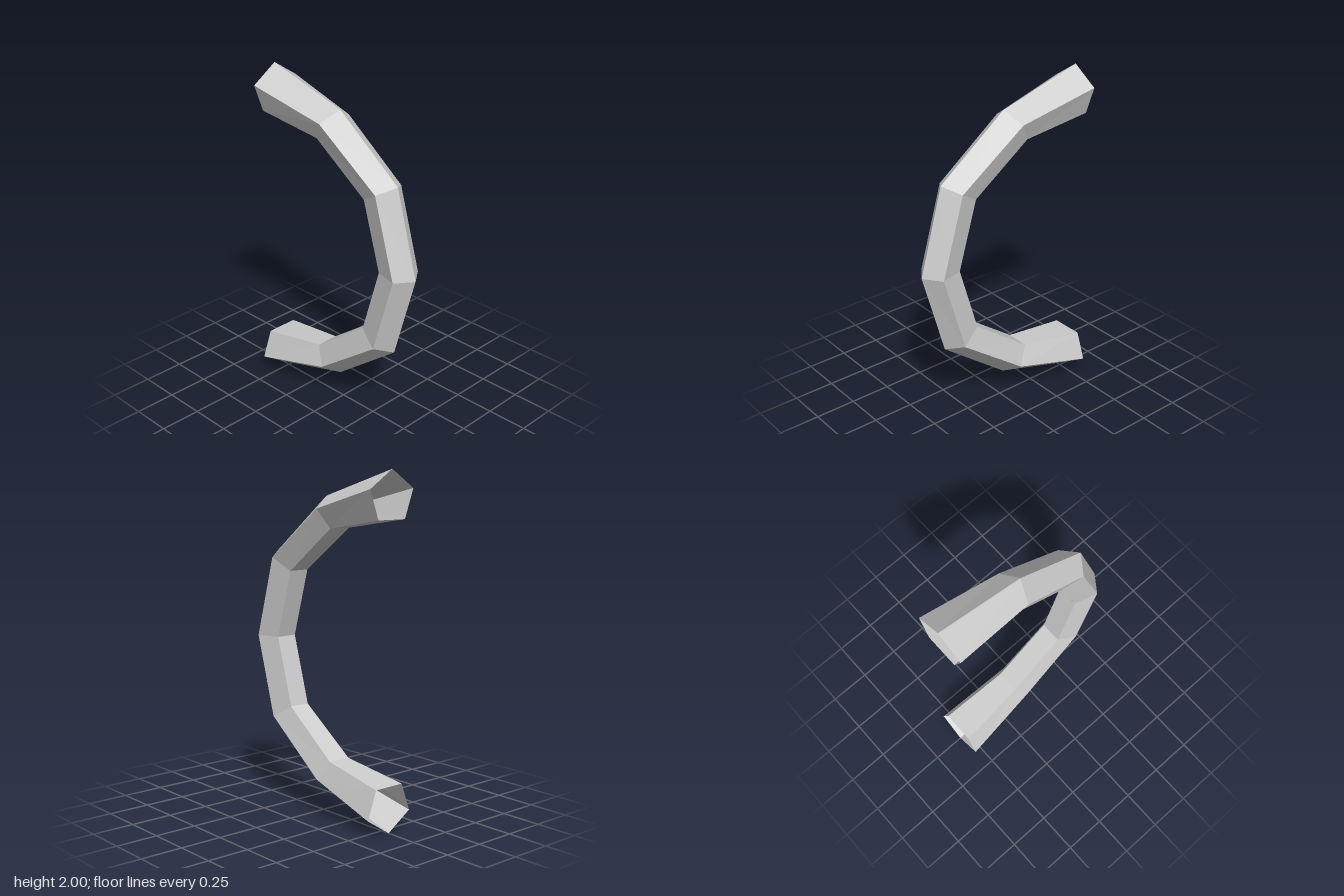
import * as THREE from 'three';

// Cross-sections from the upper end to the middle, each a five-sided ring:
// ridge, side and inner corners as [z, y], plus the half width at the side corners.
const upper = [
  { ridge: [-0.555, 2.0], side: [-0.555, 1.897], inner: [-0.555, 1.733], w: 0.158 },
  { ridge: [-0.025, 1.845], side: [-0.073, 1.778], inner: [-0.14, 1.668], w: 0.115 },
  { ridge: [0.41, 1.515], side: [0.34, 1.478], inner: [0.22, 1.405], w: 0.104 },
  { ridge: [0.555, 1.0], side: [0.48, 1.0], inner: [0.34, 1.0], w: 0.104 },
];

const flip = ([z, y]) => [z, 2 - y];

function ringPoints({ ridge, side, inner, w }) {
  const point = (x, [z, y]) => [x, y, z];
  const n = w * 0.618;
  return [point(0, ridge), point(w, side), point(n, inner), point(-n, inner), point(-w, side)];
}

// Open tube skinned over the rings
function skin(rings) {
  const positions = [];
  for (let i = 0; i < rings.length - 1; i++) {
    for (let j = 0; j < 5; j++) {
      const k = (j + 1) % 5;
      const a = rings[i][j], b = rings[i][k];
      const c = rings[i + 1][k], d = rings[i + 1][j];
      positions.push(...a, ...d, ...c, ...a, ...c, ...b);
    }
  }
  const geometry = new THREE.BufferGeometry();
  geometry.setAttribute('position', new THREE.Float32BufferAttribute(positions, 3));
  geometry.computeVertexNormals();
  return geometry;
}

export function createModel() {
  const group = new THREE.Group();
  group.name = 'handle';

  const grey = new THREE.MeshStandardMaterial({ color: 0xcccccc, flatShading: true, side: THREE.DoubleSide });
  grey.name = 'light grey';

  // The lower half mirrors the upper half about mid height
  const lower = upper.slice(0, -1).reverse().map((r) => ({
    ridge: flip(r.ridge), side: flip(r.side), inner: flip(r.inner), w: r.w,
  }));
  const grip = new THREE.Mesh(skin([...upper, ...lower].map(ringPoints)), grey);
  grip.name = 'curvedGrip';
  group.add(grip);
  return group;
}
